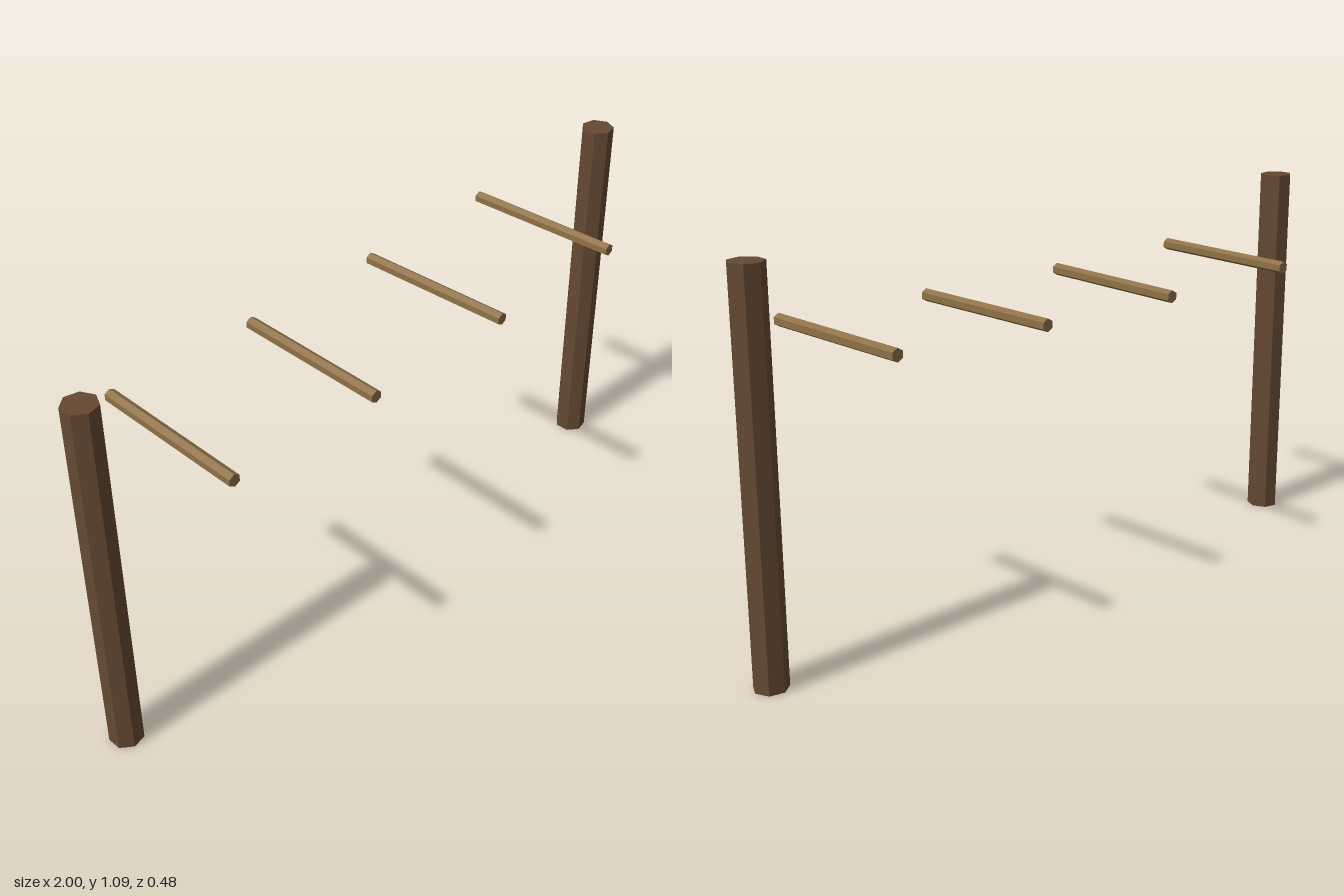
import * as THREE from 'three';

export function createModel() {
  const model = new THREE.Group();
  model.name = 'postsAndRungs';

  const darkWood = new THREE.MeshStandardMaterial({ name: 'darkWood', color: 0x654932, flatShading: true });
  const lightWood = new THREE.MeshStandardMaterial({ name: 'lightWood', color: 0x8f7148, flatShading: true });

  // Seven-sided upright posts, one corner pointing to +x
  const postHeight = 1.09;
  const postGeometry = new THREE.CylinderGeometry(0.0472, 0.0472, postHeight, 7);
  postGeometry.rotateY(Math.PI / 2);
  postGeometry.translate(0, postHeight / 2, 0);
  for (const [name, x] of [['rightPost', -0.957], ['leftPost', 0.953]]) {
    const post = new THREE.Mesh(postGeometry, darkWood);
    post.name = name;
    post.position.x = x;
    model.add(post);
  }

  // Six-sided rungs lying front to back, the middle pair sagging slightly
  const rungGeometry = new THREE.CylinderGeometry(0.018, 0.018, 0.478, 6);
  rungGeometry.rotateX(Math.PI / 2);
  for (let i = 0; i < 4; i++) {
    const rung = new THREE.Mesh(rungGeometry, lightWood);
    const x = (i - 1.5) * 0.477;
    rung.name = `rung${i + 1}`;
    rung.position.set(x - 0.002, Math.abs(x) > 0.5 ? 0.866 : 0.855, 0);
    rung.rotation.y = 0.03 * Math.sign(x);
    model.add(rung);
  }

  return model;
}
